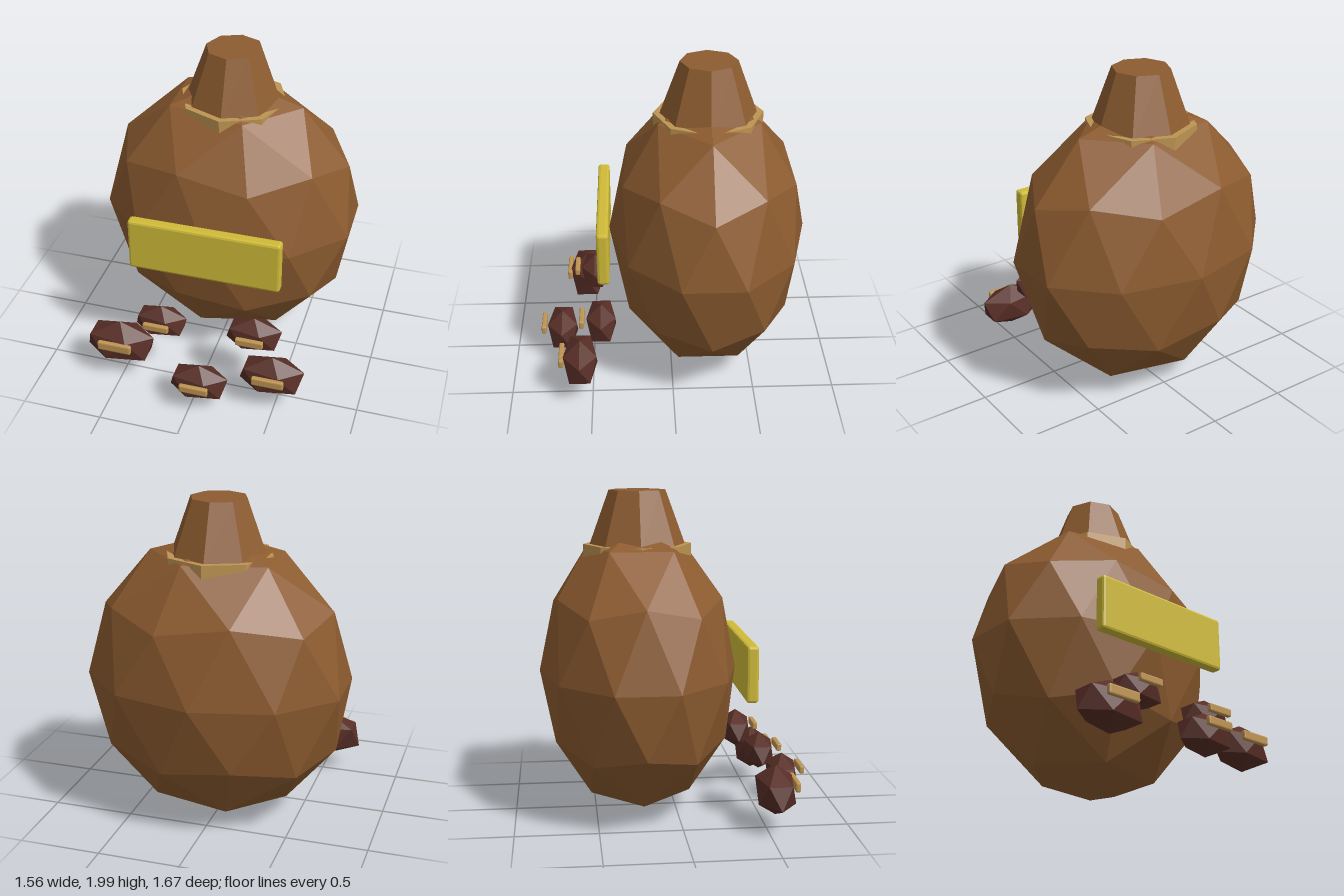
import * as THREE from 'three';
import { RoundedBoxGeometry } from 'three/addons/geometries/RoundedBoxGeometry.js';

const mat = (name, color) => {
  const m = new THREE.MeshStandardMaterial({ color });
  m.name = name;
  return m;
};

// Give every face its own flat normal
function faceted(geo) {
  const g = geo.index ? geo.toNonIndexed() : geo;
  g.computeVertexNormals();
  return g;
}

// Icosphere standing on a vertex, stretched to an ellipsoid
function icoEllipsoid(detail, rx, ry, rz) {
  const g = new THREE.IcosahedronGeometry(1, detail);
  g.rotateZ(-Math.atan(2 / (1 + Math.sqrt(5))));
  g.scale(rx, ry, rz);
  return faceted(g);
}

const chamferBox = (w, h, d, r) => faceted(new RoundedBoxGeometry(w, h, d, 1, r));

function add(parent, name, geo, material, x, y, z) {
  const mesh = new THREE.Mesh(geo, material);
  mesh.name = name;
  mesh.position.set(x, y, z);
  parent.add(mesh);
  return mesh;
}

export function createModel() {
  const model = new THREE.Group();
  model.name = 'beanSack';

  const burlap = mat('burlap brown', 0x8d5c30);
  const rope = mat('rope tan', 0xbe9452);
  const label = mat('label yellow', 0xd0bb38);
  const roast = mat('roasted bean', 0x582e26);

  const sackZ = -0.227;

  // Sack with gathered neck and tie
  add(model, 'sackBody', icoEllipsoid(1, 0.82, 0.89, 0.608), burlap, 0, 0.9, sackZ);
  add(model, 'sackNeck', faceted(new THREE.CylinderGeometry(0.172, 0.299, 0.35, 8)),
    burlap, 0, 1.825, sackZ);
  add(model, 'neckTie', faceted(new THREE.CylinderGeometry(0.33, 0.33, 0.08, 8)),
    rope, 0, 1.635, sackZ);

  // Front label
  add(model, 'frontLabel', chamferBox(0.945, 0.34, 0.072, 0.016), label, 0, 0.94, 0.414);

  // Loose beans, each with a crease bar in front: x, y, z, scale, bar y, bar z
  const beanGeo = icoEllipsoid(0, 0.205, 0.128, 0.11);
  const barGeo = chamferBox(0.18, 0.05, 0.031, 0.008);
  const beans = [
    [0.045, 0.18, 0.7, 1, 0.215, 0.818],
    [-0.515, 0.25, 0.55, 1.2, 0.29, 0.667],
    [-0.26, 0.425, 0.49, 0.9, 0.457, 0.603],
    [0.322, 0.413, 0.44, 0.96, 0.438, 0.56],
    [0.472, 0.232, 0.573, 1.1, 0.266, 0.688],
  ];
  for (const [x, y, z, s, barY, barZ] of beans) {
    const bean = new THREE.Group();
    bean.name = 'bean';
    add(bean, 'beanShell', beanGeo, roast, x, y, z).scale.setScalar(s);
    add(bean, 'beanCrease', barGeo, rope, x, barY, barZ).scale.set(s, s, 1);
    model.add(bean);
  }

  return model;
}
